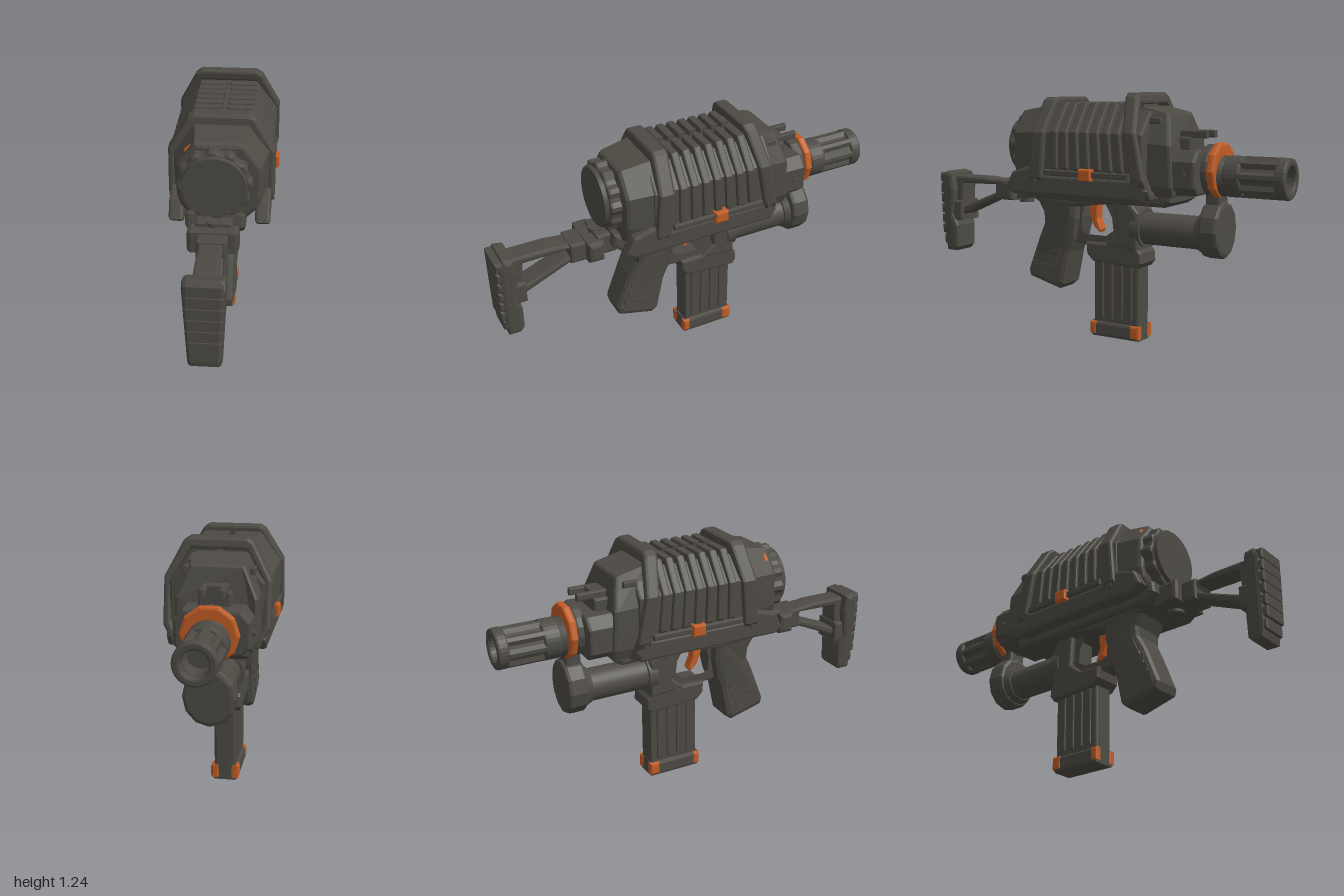
import * as THREE from 'three';

const dark = new THREE.MeshStandardMaterial({ color: 0x4d4a44 });
dark.name = 'charcoal';
const orange = new THREE.MeshStandardMaterial({ color: 0xc05c24 });
orange.name = 'orange';
const CX = -0.018; // centre line of the barrel, stock and grip

export function createModel() {
  const root = new THREE.Group();
  root.name = 'toyBlaster';

  function add(name, geo, mat = dark, x = 0, y = 0, z = 0) {
    const m = new THREE.Mesh(geo, mat);
    m.name = name;
    m.position.set(x, y, z);
    root.add(m);
    return m;
  }
  const vec = (pts) => pts.map((p) => new THREE.Vector2(p[0], p[1]));
  function extrude(pts, depth, bevel, holes = []) {
    const s = new THREE.Shape(vec(pts));
    holes.forEach((h) => s.holes.push(new THREE.Path(vec(h))));
    return new THREE.ExtrudeGeometry(s, {
      depth: depth - 2 * bevel, bevelEnabled: bevel > 0, bevelSize: bevel, bevelThickness: bevel,
      bevelOffset: -bevel, bevelSegments: 2, curveSegments: 12,
    }).translate(0, 0, bevel - depth / 2);
  }
  // side profile given as (z, y), extruded across x
  const side = (pts, hw, bevel = 0.015, holes) => extrude(pts, hw * 2, bevel, holes).rotateY(-Math.PI / 2);
  // cross-section given as (x, y), extruded from z0 to z1
  const section = (pts, z0, z1, bevel = 0.012, holes) =>
    extrude(pts, z1 - z0, bevel, holes).translate(0, 0, (z0 + z1) / 2);
  // right half of a section, mirrored
  const mirror = (half) => [...half, ...half.map(([x, y]) => [-x, y]).reverse()];
  const block = (hw, y0, y1, z0, z1, b = 0.012) =>
    side([[z0, y0], [z1, y0], [z1, y1], [z0, y1]], hw, b);
  const disc = (r0, r1, z0, z1, n = 32) =>
    new THREE.CylinderGeometry(r1, r0, z1 - z0, n).rotateX(Math.PI / 2).translate(0, 0, (z0 + z1) / 2);
  function ringPts(r, n = 32, notch = 0, teeth = 1) {
    return Array.from({ length: n }, (_, i) => {
      const a = (i / n) * Math.PI * 2;
      const q = r - (((i * teeth * 4) / n) % 4 >= 2 ? notch : 0);
      return [q * Math.cos(a), q * Math.sin(a)];
    });
  }
  // move vertices by a rule
  function bend(geo, rule) {
    const p = geo.attributes.position, v = new THREE.Vector3();
    for (let i = 0; i < p.count; i++) {
      v.fromBufferAttribute(p, i);
      rule(v);
      p.setXYZ(i, v.x, v.y, v.z);
    }
    geo.computeVertexNormals();
    return geo;
  }

  // main housing: inner core, tapered rear and ribbed shells
  add('bodyCore', section(mirror([[0.17, 0.74], [0.222, 0.83], [0.222, 1.04], [0.13, 1.15]]), -0.36, 0.27));
  const rear = section(mirror([[0.14, 0.74], [0.2, 0.8], [0.218, 0.86], [0.218, 1.04], [0.125, 1.165]]), 0.22, 0.4, 0.02);
  add('rearHousing', bend(rear, (v) => {
    const t = Math.max(0, v.z - 0.25) / 0.15;
    v.x *= 1 - 0.12 * t;
    v.y = 0.96 + (v.y - 0.96) * (1 - 0.13 * t);
  }));
  const shell = [[0.012, 1.13], [0.012, 1.185], [0.14, 1.185], [0.24, 1.045], [0.24, 0.87], [0.21, 0.84], [0.2, 1.03], [0.12, 1.13]];
  for (let i = 0; i < 7; i++) {
    const z = 0.125 - i * 0.058;
    for (const s of [1, -1]) {
      const geo = section(shell.map(([x, y]) => [s * x, y]), z - 0.02, z + 0.02, 0.008);
      add('coolingRib', bend(geo, (v) => { v.z -= 0.1 * Math.max(0, 1.1 - v.y) * (i / 6); }));
    }
  }

  // hoops that wrap the housing
  const hoopHole = mirror([[0.18, 0.78], [0.213, 0.85], [0.213, 1.04], [0.13, 1.18]]);
  const frontHoop = section(mirror([[0.2, 0.735], [0.252, 0.83], [0.252, 1.05], [0.165, 1.215], [0.135, 1.235]]), -0.035, 0.035, 0.014, [hoopHole]);
  add('frontHoop', bend(frontHoop, (v) => { v.z -= 0.265 + 0.2 * (1.235 - v.y); }));
  const rearHoop = section(mirror([[0.18, 0.735], [0.25, 0.82], [0.25, 1.04], [0.155, 1.195], [0.13, 1.21]]), -0.04, 0.04, 0.014, [hoopHole]);
  add('rearHoop', bend(rearHoop, (v) => { v.z += 0.2 + 0.08 * (1.21 - v.y); }));

  // lower side rails and side buttons
  const rail = [[0.42, 0.76], [0.38, 0.73], [-0.36, 0.73], [-0.39, 0.78], [-0.36, 0.85], [-0.28, 0.83], [0.2, 0.83], [0.28, 0.87], [0.38, 0.84]];
  for (const s of [1, -1]) {
    add('sideRail', side(rail, 0.035, 0.014), dark, s * 0.2);
    add('upperSideRail', block(0.012, 0.83, 0.86, -0.3, 0.18, 0.006), dark, s * 0.235);
    add('sideButton', block(0.025, 0.815, 0.872, -0.1, -0.032, 0.008), orange, s * 0.238);
    for (const [z, y] of [[0.24, 0.8], [-0.34, 0.82]]) {
      add('railBolt', new THREE.CylinderGeometry(0.014, 0.014, 0.02, 10).rotateZ(Math.PI / 2), dark, s * 0.238, y, z);
    }
  }

  // rear knob
  add('knobBase', disc(0.185, 0.175, 0.33, 0.385), dark, CX, 0.96);
  add('knob', section(ringPts(0.172, 48, 0.013, 12), 0.37, 0.455, 0.012), dark, CX, 0.96);
  add('knobFace', disc(0.152, 0.146, 0.44, 0.475, 40), dark, CX, 0.96);
  for (const [a, b] of [[10, 68], [112, 137]]) {
    const arc = new THREE.TorusGeometry(0.185, 0.013, 8, 14, THREE.MathUtils.degToRad(b - a));
    add('knobAccent', arc.rotateZ(THREE.MathUtils.degToRad(a)), orange, CX, 0.96, 0.362);
  }

  // sloping nose, barrel block and top sight
  const nose = section(mirror([[0.17, 0.75], [0.19, 0.8], [0.19, 1.0], [0.125, 1.17]]), -0.49, -0.28, 0.015);
  add('nose', bend(nose, (v) => {
    if (v.z < -0.4) {
      v.z += 0.05 * Math.max(0, (v.y - 0.95) / 0.22);
      v.y -= 0.03 * Math.max(0, (v.y - 0.95) / 0.22);
    }
  }), dark, CX);
  add('barrelBlock', section(mirror([[0.13, 0.76], [0.175, 0.8], [0.175, 0.92], [0.13, 0.97]]), -0.6, -0.42, 0.015), dark, CX);
  add('noseTopPlate', block(0.075, 0.96, 1.03, -0.53, -0.42), dark, CX);
  add('sightBase', block(0.055, 1.025, 1.06, -0.53, -0.43, 0.008), dark, CX);
  for (const s of [1, -1]) {
    add('sightProng', block(0.014, 1.025, 1.06, -0.605, -0.47, 0.006), dark, CX + s * 0.045);
    add('noseVent', block(0.012, 1.09, 1.12, -0.42, -0.35, 0.005), dark, CX + s * 0.155);
    add('blockBolt', new THREE.CylinderGeometry(0.014, 0.014, 0.02, 10).rotateZ(Math.PI / 2), dark, CX + s * 0.175, 0.86, -0.54);
  }

  // barrel, collars and slotted muzzle
  const BY = 0.86;
  add('barrelCollar', section(ringPts(0.122, 16), -0.635, -0.58), dark, CX, BY + 0.015);
  add('accentRing', section(ringPts(0.135, 10), -0.672, -0.632, 0.012), orange, CX, BY + 0.015);
  add('barrel', disc(0.07, 0.07, -0.86, -0.6), dark, CX, BY - 0.01);
  add('muzzleNeck', disc(0.085, 0.1, -0.71, -0.665), dark, CX, BY - 0.01);
  const bore = [ringPts(0.06, 24)];
  add('muzzleBase', section(ringPts(0.097, 32), -0.78, -0.695, 0.01, bore), dark, CX, BY - 0.01);
  add('muzzleSlots', section(ringPts(0.097, 32, 0.017, 8), -0.95, -0.77, 0, bore), dark, CX, BY - 0.01);
  add('muzzleTip', section(ringPts(0.097, 32), -1, -0.945, 0.01, bore), dark, CX, BY - 0.01);

  // lower receiver and under-barrel tube
  add('receiver', side([[0.43, 0.8], [0.44, 0.74], [0.39, 0.695], [-0.42, 0.695], [-0.46, 0.72], [-0.46, 0.8]], 0.14, 0.02), dark, CX);
  add('receiverLower', side([[0.4, 0.72], [0.32, 0.675], [0.12, 0.66], [-0.1, 0.69], [-0.2, 0.69], [-0.2, 0.73], [0.4, 0.74]], 0.112, 0.015), dark, CX);
  add('underTube', disc(0.08, 0.08, -0.6, -0.2), dark, CX, 0.57);
  add('tubeCollar', disc(0.095, 0.095, -0.26, -0.21), dark, CX, 0.57);
  add('tubeFlare', disc(0.11, 0.09, -0.6, -0.555, 16), dark, CX, 0.575);
  add('tubeCap', section(ringPts(0.122, 12), -0.688, -0.585, 0.018).scale(1, 1.13, 1), dark, CX, 0.592);
  add('capBracket', block(0.05, 0.7, 0.79, -0.67, -0.595), dark, CX);

  // pistol grip with ridges, wider toward the top
  const grip = side([[0.4, 0.72], [0.33, 0.68], [0.3, 0.62], [0.3, 0.57], [0.34, 0.49], [0.41, 0.31], [0.4, 0.27],
    [0.22, 0.222], [0.185, 0.25], [0.15, 0.42], [0.12, 0.49], [0.1, 0.6], [0.1, 0.72]], 0.085, 0.028);
  add('grip', bend(grip, (v) => { v.x *= 1 + 0.3 * THREE.MathUtils.smoothstep(v.y, 0.45, 0.7); }), dark, CX);
  for (let i = 0; i < 5; i++) {
    const ridge = new THREE.BoxGeometry(0.18, 0.034, 0.14);
    add('gripRidge', ridge, dark, CX, 0.335 + i * 0.05, 0.305 - i * 0.02).rotation.x = -0.2;
  }

  // trigger guard and trigger
  const guardHole = [[0.08, 0.685], [0.1, 0.6], [0.095, 0.53], [0.06, 0.51], [-0.06, 0.51], [-0.11, 0.545], [-0.1, 0.62], [-0.06, 0.69]];
  add('triggerGuard', side([[0.16, 0.72], [0.16, 0.48], [0.1, 0.47], [-0.2, 0.46], [-0.25, 0.5], [-0.25, 0.64], [-0.18, 0.72]], 0.055, 0.01, [guardHole]), dark, CX);
  add('guardCheek', side([[-0.12, 0.72], [-0.13, 0.54], [-0.06, 0.48], [-0.25, 0.46], [-0.25, 0.65], [-0.19, 0.72]], 0.085), dark, CX);
  add('trigger', side([[0.07, 0.7], [0.06, 0.62], [0.035, 0.56], [0, 0.53], [-0.008, 0.545], [0.015, 0.6], [0.01, 0.7]], 0.028, 0.007), orange, CX);

  // magazine with ribbed sides and accent corners
  add('magazineWell', side([[0.05, 0.485], [0.045, 0.425], [0.01, 0.39], [-0.25, 0.375], [-0.27, 0.4], [-0.265, 0.45], [-0.23, 0.49]], 0.08, 0.012), dark, CX);
  add('magazine', block(0.053, 0.03, 0.42, -0.243, 0.018, 0.012), dark, CX);
  for (let i = 0; i < 4; i++) {
    add('magazineRib', block(0.06, 0.1, 0.39, -0.208 + i * 0.055, -0.18 + i * 0.055, 0.006), dark, CX);
  }
  add('magazineBase', block(0.066, 0, 0.08, -0.245, 0.026, 0.016), dark, CX);
  for (const s of [1, -1]) {
    add('baseAccentRear', block(0.02, 0.012, 0.078, -0.006, 0.031, 0.01), orange, CX + s * 0.05);
    add('baseAccentFront', block(0.02, 0.012, 0.078, -0.252, -0.2, 0.01), orange, CX + s * 0.05);
  }

  // folding stock: hinge, open strut and padded butt
  add('stockMount', block(0.085, 0.68, 0.79, 0.4, 0.5), dark, CX);
  add('stockHinge', block(0.12, 0.67, 0.775, 0.475, 0.555, 0.02), dark, CX);
  add('hingePin', new THREE.CylinderGeometry(0.04, 0.04, 0.14, 16), dark, CX, 0.725, 0.47);
  add('strutSocket', block(0.07, 0.665, 0.77, 0.54, 0.63), dark, CX);
  add('strut', side([[0.92, 0.775], [0.72, 0.775], [0.63, 0.765], [0.54, 0.75], [0.54, 0.68], [0.62, 0.67], [0.86, 0.565], [0.92, 0.55]],
    0.055, 0.012, [[[0.86, 0.735], [0.64, 0.74], [0.62, 0.705], [0.87, 0.605]]]), dark, CX);
  add('buttBracket', block(0.075, 0.53, 0.64, 0.86, 0.93), dark, CX);
  const taper = (v) => { v.x *= 0.82 + 0.18 * THREE.MathUtils.smoothstep(v.y, 0.36, 0.72); };
  add('butt', bend(side([[0.96, 0.8], [0.91, 0.79], [0.9, 0.7], [0.915, 0.56], [0.89, 0.5], [0.89, 0.38], [0.91, 0.358],
    [0.97, 0.358], [0.98, 0.42], [0.985, 0.76]], 0.094, 0.02), taper), dark, CX);
  for (let i = 0; i < 7; i++) {
    const y = 0.395 + i * 0.057;
    add('buttPad', bend(block(0.085, y, y + 0.052, 0.95, i ? 1 : 0.99, 0.012), taper), dark, CX);
  }
  return root;
}
